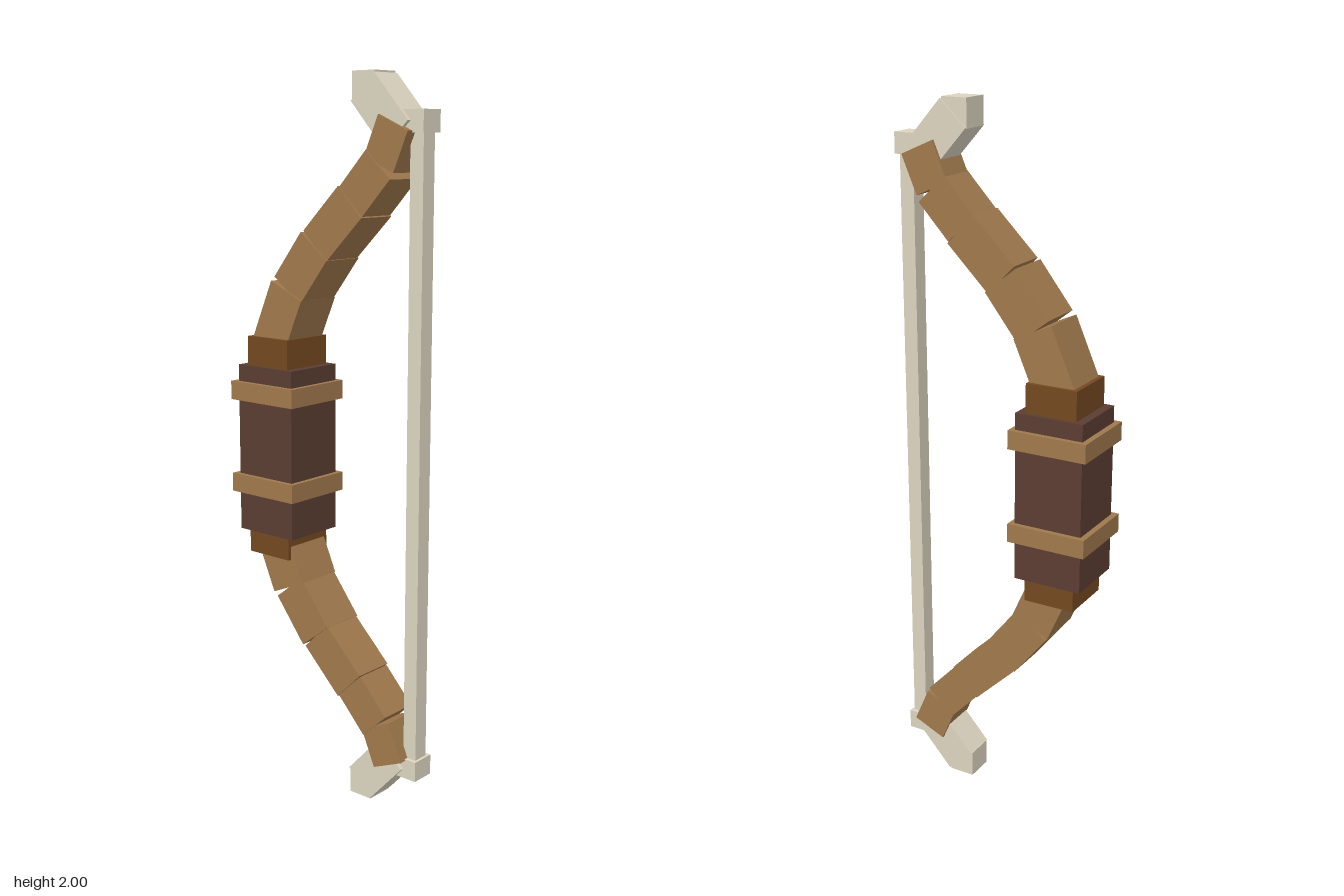
import * as THREE from 'three';

const mat = (name, color) => {
  const m = new THREE.MeshStandardMaterial({ color });
  m.name = name;
  return m;
};

export function createModel() {
  const limbWood = mat('light wood', 0x9f784c);
  const riserWood = mat('dark wood', 0x734820);
  const leather = mat('leather', 0x5b3d31);
  const bone = mat('bone', 0xdcd4c0);

  const model = new THREE.Group();
  model.name = 'bow';

  // Upright box given by its half width and its y and z ranges
  const block = (name, material, halfX, y0, y1, z0, z1) => {
    const mesh = new THREE.Mesh(new THREE.BoxGeometry(halfX * 2, y1 - y0, z1 - z0), material);
    mesh.position.set(0, (y0 + y1) / 2, (z0 + z1) / 2);
    mesh.name = name;
    model.add(mesh);
  };

  // Box running between two [z, y] points in the plane of the bow
  const beam = (name, material, [z0, y0], [z1, y1], width, thickness) => {
    const length = Math.hypot(z1 - z0, y1 - y0);
    const mesh = new THREE.Mesh(new THREE.BoxGeometry(width, length, thickness), material);
    mesh.position.set(0, (y0 + y1) / 2, (z0 + z1) / 2);
    mesh.rotation.x = Math.atan2(z1 - z0, y1 - y0);
    mesh.name = name;
    model.add(mesh);
  };

  // Handle and string
  block('riser', riserWood, 0.081, 0.66, 1.29, -0.268, -0.118);
  block('grip', leather, 0.093, 0.727, 1.208, -0.293, -0.093);
  block('string', bone, 0.023, 0.1, 1.9, 0.257, 0.299);

  // Centre line of the upper limb, with tapering widths and thicknesses
  const path = [[-0.2, 1.265], [-0.13, 1.425], [-0.032, 1.55], [0.09, 1.67], [0.18, 1.766], [0.225, 1.87]];
  const widths = [0.141, 0.133, 0.125, 0.117, 0.11];
  const thicknesses = [0.121, 0.117, 0.113, 0.108, 0.104];

  // Everything here is repeated upside down about y = 1
  for (const [side, s] of [['upper', 1], ['lower', -1]]) {
    const flip = ([z, y]) => [z, 1 + s * (y - 1)];
    const pair = (name, material, halfX, y0, y1, z0, z1) => {
      const a = 1 + s * (y0 - 1), b = 1 + s * (y1 - 1);
      block(side + name, material, halfX, Math.min(a, b), Math.max(a, b), z0, z1);
    };
    pair('GripBand', limbWood, 0.108, 1.108, 1.161, -0.31, -0.078);
    for (let i = 0; i < widths.length; i++) {
      beam(side + 'LimbSegment' + (i + 1), limbWood, flip(path[i]), flip(path[i + 1]), widths[i], thicknesses[i]);
    }
    // Recurved tip and the block that holds the string
    beam(side + 'TipNeck', bone, flip([0.228, 1.84]), flip([0.119, 1.96]), 0.094, 0.104);
    pair('TipEnd', bone, 0.042, 1.923, 2, 0.08, 0.155);
    pair('StringNock', bone, 0.035, 1.845, 1.902, 0.235, 0.307);
  }
  return model;
}
